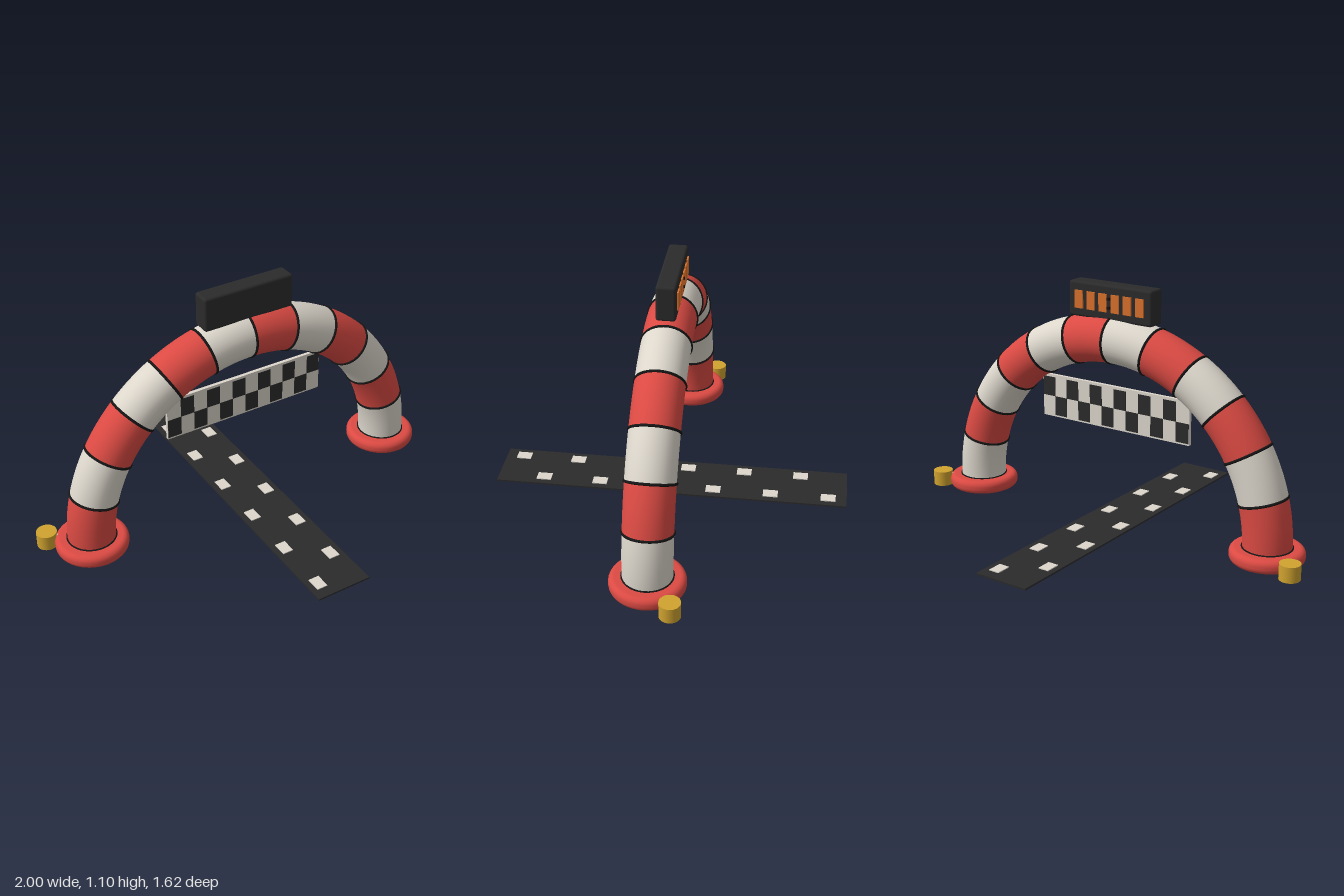
import * as THREE from 'three';
import { RoundedBoxGeometry } from 'three/addons/geometries/RoundedBoxGeometry.js';

const mat = (name, color) => {
  const m = new THREE.MeshStandardMaterial({ color });
  m.name = name;
  return m;
};

export function createModel() {
  const red = mat('red fabric', 0xdb4a43);
  const white = mat('off white fabric', 0xdcd6cb);
  const charcoal = mat('charcoal', 0x2b2b2c);
  const black = mat('black seam', 0x151515);
  const yellow = mat('yellow weight', 0xd0a32f);
  const orange = mat('orange digit', 0xd8702a);

  const model = new THREE.Group();
  model.name = 'raceArch';
  const add = (name, geo, material, x = 0, y = 0, z = 0, parent = model) => {
    const mesh = new THREE.Mesh(geo, material);
    mesh.name = name;
    mesh.position.set(x, y, z);
    parent.add(mesh);
    return mesh;
  };
  const box = (w, h, d) => new THREE.BoxGeometry(w, h, d);

  // Inflated arch: twelve alternating segments with dark seams between them
  const R = 0.787, r = 0.107, baseY = 0.065, step = Math.PI / 12;
  const arch = new THREE.Group();
  arch.name = 'arch';
  arch.position.y = baseY;
  model.add(arch);
  const segmentGeo = new THREE.TorusGeometry(R, r, 32, 8, step);
  const seamGeo = new THREE.TorusGeometry(r, 0.006, 8, 40);
  for (let i = 0; i < 12; i++) {
    add('archSegment', segmentGeo, i % 2 ? red : white, 0, 0, 0, arch).rotation.z = i * step;
  }
  for (let i = 0; i <= 12; i++) {
    const a = i * step;
    const seam = add('archSeam', seamGeo, black, R * Math.cos(a), R * Math.sin(a), 0, arch);
    seam.rotation.set(Math.PI / 2, a, 0, 'ZXY');
    // the ring's axis follows the tangent of the arch
    seam.quaternion.setFromUnitVectors(
      new THREE.Vector3(0, 0, 1), new THREE.Vector3(-Math.sin(a), Math.cos(a), 0));
  }

  // Rounded foot profile
  const profile = [new THREE.Vector2(0, 0.004)];
  const corner = 0.026;
  for (const [cy, start] of [[0.004 + corner, -Math.PI / 2], [0.067 - corner, 0]]) {
    for (let i = 0; i <= 6; i++) {
      const a = start + (i / 6) * (Math.PI / 2);
      profile.push(new THREE.Vector2(0.163 - corner + corner * Math.cos(a), cy + corner * Math.sin(a)));
    }
  }
  profile.push(new THREE.Vector2(0, 0.067));
  const footGeo = new THREE.LatheGeometry(profile, 48);
  const weightGeo = new THREE.CylinderGeometry(0.046, 0.046, 0.07, 24);

  // Feet with a ballast weight tied on behind each one
  for (const s of [1, -1]) {
    add(s > 0 ? 'leftFoot' : 'rightFoot', footGeo, red, s * R, 0, 0);
    add('ballastWeight', weightGeo, yellow, s * 0.953, 0.041, -0.114);
    const strap = new THREE.LineCurve3(
      new THREE.Vector3(s * 0.87, 0.05, -0.06), new THREE.Vector3(s * 0.945, 0.06, -0.108));
    add('ballastStrap', new THREE.TubeGeometry(strap, 1, 0.007, 8), white);
  }

  // Timing box on the crown, with its digits on the back
  add('timerBox', new RoundedBoxGeometry(0.435, 0.158, 0.086, 3, 0.012), charcoal, 0, 1.02, 0.001);
  for (let i = 0; i < 6; i++) {
    add('timerDigit', box(0.042, 0.08, 0.008), orange, (i - 2.5) * 0.064, 1.02, -0.045);
  }
  for (const y of [1.0, 1.04]) {
    add('timerColon', box(0.012, 0.012, 0.012), black, 0, y, -0.046);
  }

  // Hanging chequered banner, chequers showing on both faces
  add('banner', box(0.79, 0.2, 0.016), white, 0, 0.538, 0);
  const cell = 0.0655;
  const chequerGeo = box(cell, 0.09, 0.003);
  for (let col = 0; col < 12; col++) {
    const y = col % 2 ? 0.581 : 0.491;
    for (const z of [0.008, -0.008]) {
      add('bannerChequer', chequerGeo, charcoal, (col - 5.5) * cell, y, z);
    }
  }

  // Finish strip on the ground with staggered marks
  add('finishStrip', box(0.26, 0.008, 1.62), charcoal, 0, 0.004, 0);
  const markGeo = box(0.05, 0.005, 0.068);
  for (let i = 0; i < 12; i++) {
    add('stripMark', markGeo, white, i % 2 ? -0.079 : 0.077, 0.0095, (i - 5.5) * 0.132);
  }
  return model;
}
